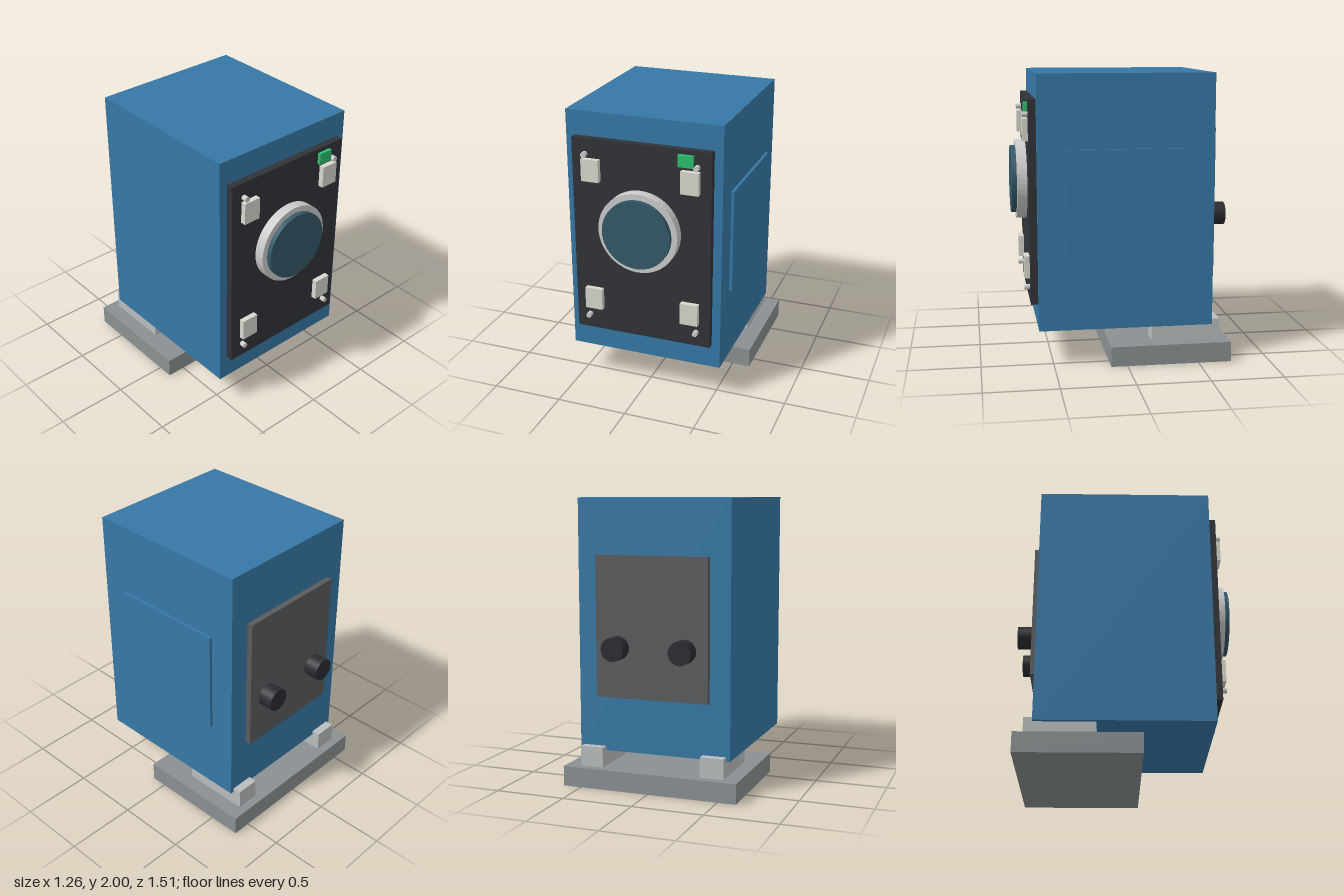
import * as THREE from 'three';

const paint = (color, flatShading = false) => new THREE.MeshStandardMaterial({ color, flatShading });

export function createModel() {
  const model = new THREE.Group();
  const blue = paint(0x3678a6), dark = paint(0x303338), baseGrey = paint(0x8a9092);
  const clampGrey = paint(0xb9bdbe), panelGrey = paint(0x595b5d), black = paint(0x2a2c30);
  const ivory = paint(0xd8d8ce), green = paint(0x2ebf6d), steel = paint(0xbcbec0);
  const rim = paint(0xbcbec0, true), glass = paint(0x345868);

  // Box given by its extents along each axis
  function box(name, mat, [x0, x1], [y0, y1], [z0, z1]) {
    const mesh = new THREE.Mesh(new THREE.BoxGeometry(x1 - x0, y1 - y0, z1 - z0), mat);
    mesh.position.set((x0 + x1) / 2, (y0 + y1) / 2, (z0 + z1) / 2);
    mesh.name = name;
    model.add(mesh);
  }

  // Cylinder lying along z
  function disc(name, mat, r, x, y, [z0, z1], sides = 32) {
    const geo = new THREE.CylinderGeometry(r, r, z1 - z0, sides).rotateX(Math.PI / 2);
    const mesh = new THREE.Mesh(geo, mat);
    mesh.position.set(x, y, (z0 + z1) / 2);
    mesh.name = name;
    model.add(mesh);
  }

  // Housing and its side cover
  box('housing', blue, [-0.55, 0.55], [0.25, 2], [-0.61, 0.6]);
  box('sideCover', blue, [0.55, 0.57], [0.76, 1.495], [-0.43, 0.415]);

  // Front plate with lens and status light
  box('frontPlate', dark, [-0.49, 0.49], [0.425, 1.83], [0.6, 0.65]);
  const bezel = new THREE.Shape().absarc(0, 0, 0.282, 0, Math.PI * 2);
  bezel.holes.push(new THREE.Path().absarc(0, 0, 0.24, 0, Math.PI * 2, true));
  const ring = new THREE.Mesh(
    new THREE.ExtrudeGeometry(bezel, { depth: 0.07, bevelEnabled: false, curveSegments: 24 }), rim);
  ring.position.set(0, 1.23, 0.65);
  ring.name = 'lensBezel';
  model.add(ring);
  disc('lens', glass, 0.241, 0, 1.23, [0.65, 0.755], 48);
  box('statusLight', green, [0.265, 0.37], [1.718, 1.8], [0.65, 0.673]);

  // Mirrored details: pads, screws, rear knobs and base clamps
  for (const s of [-1, 1]) {
    const span = (a, b) => (s > 0 ? [a, b] : [-b, -a]);
    box('upperPad', ivory, span(0.287, 0.413), [1.54, 1.695], [0.65, 0.687]);
    box('lowerPad', ivory, span(0.287, 0.413), [0.593, 0.748], [0.65, 0.687]);
    for (const y of [0.53, 1.723]) disc('screw', steel, 0.019, s * 0.394, y, [0.65, 0.688], 12);
    disc('rearKnob', black, 0.081, s * 0.242, 0.985, [-0.755, -0.65]);
    box('clamp', clampGrey, span(0.357, 0.523), [0.14, 0.28], [-0.67, -0.19]);
  }

  // Rear panel and base
  box('rearPanel', panelGrey, [-0.405, 0.405], [0.637, 1.615], [-0.65, -0.61]);
  box('base', baseGrey, [-0.63, 0.63], [0, 0.14], [-0.73, 0.113]);

  return model;
}
